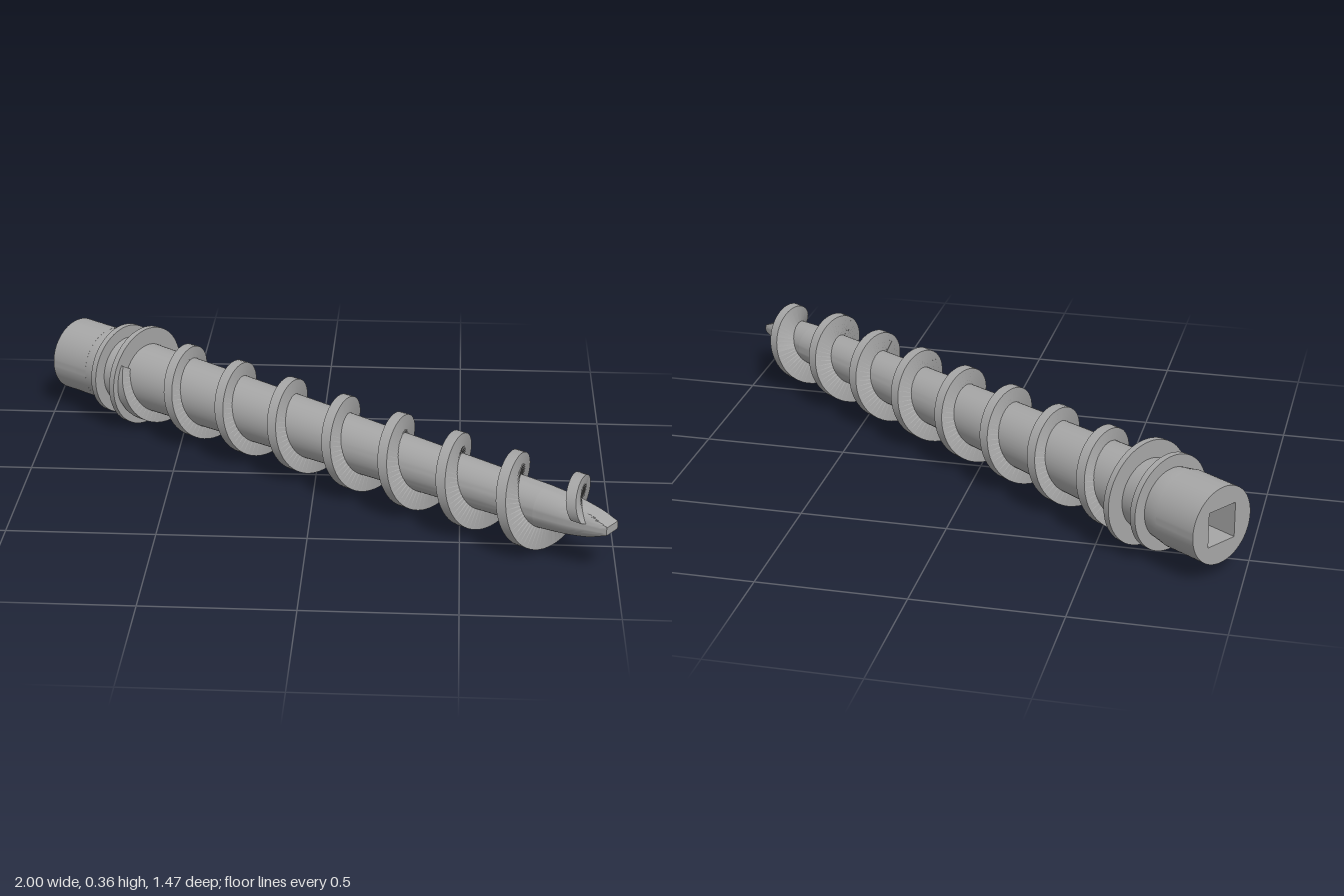
import * as THREE from 'three';
import { toCreasedNormals } from 'three/addons/utils/BufferGeometryUtils.js';

const steel = new THREE.MeshStandardMaterial({ color: 0xa6a6a6 });
steel.name = 'steelGrey';

const HEAD = -1.119, TIP = 1.204, PITCH = 0.2355;

// Everything is built along local x, head at -x and tip at +x.
function part(name, geometry, crease = 0.5) {
  const mesh = new THREE.Mesh(toCreasedNormals(geometry, crease), steel);
  mesh.name = name;
  return mesh;
}

function turned(profile) {
  const points = profile.map(([x, r]) => new THREE.Vector2(r, x));
  return new THREE.LatheGeometry(points, 48).rotateZ(-Math.PI / 2);
}

// Round drive head with a square socket
function headGeometry() {
  const shape = new THREE.Shape().absarc(0, 0, 0.132, 0, Math.PI * 2, false);
  const s = 0.06;
  shape.holes.push(new THREE.Path([[-s, -s], [-s, s], [s, s], [s, -s]].map(([x, y]) => new THREE.Vector2(x, y))));
  return new THREE.ExtrudeGeometry(shape, { depth: 0.16, bevelEnabled: false, curveSegments: 48 })
    .rotateY(Math.PI / 2).translate(HEAD, 0, 0);
}

// Tapered point with two flats that meet in a narrow chisel edge
function pointGeometry() {
  const curve = new THREE.SplineCurve([[0.95, 0.072], [1.05, 0.064], [1.13, 0.051], [TIP, 0.035]]
    .map(([x, r]) => new THREE.Vector2(x, r)));
  const profile = curve.getPoints(18).map((p) => [p.x, p.y]);
  const geometry = turned([...profile, [TIP, 0]]);
  const pos = geometry.attributes.position;
  for (let i = 0; i < pos.count; i++) {
    const h = 0.014 + 0.4 * (TIP - pos.getX(i));
    pos.setY(i, THREE.MathUtils.clamp(pos.getY(i), -h, h));
  }
  return geometry;
}

// Right-handed helical blade with a trapezoid section, fading out at the point
function threadGeometry() {
  const start = -0.785, end = 1.11, steps = 400;
  const positions = [], index = [];
  for (let i = 0; i <= steps; i++) {
    const x = start + (end - start) * i / steps;
    const angle = Math.PI - 2 * Math.PI * (x + 0.647) / PITCH;
    const fade = Math.max(0, (x - 0.98) / 0.13) ** 3;
    const outer = 0.153 - 0.006 * x - 0.08 * fade;
    const section = [[-0.03, 0.04], [-0.019, outer], [0.019, outer], [0.03, 0.04]];
    for (const [dx, r] of section) positions.push(x + dx, r * Math.sin(angle), r * Math.cos(angle));
    if (i === steps) continue;
    for (let j = 0; j < 3; j++) {
      const a = i * 4 + j, b = a + 1, c = a + 4, d = a + 5;
      index.push(a, c, b, b, c, d);
    }
  }
  const e = steps * 4;
  index.push(0, 1, 2, 0, 2, 3, e, e + 2, e + 1, e, e + 3, e + 2);
  const geometry = new THREE.BufferGeometry();
  geometry.setAttribute('position', new THREE.Float32BufferAttribute(positions, 3));
  geometry.setIndex(index);
  return geometry;
}

export function createModel() {
  const model = new THREE.Group();
  model.name = 'groundScrew';
  const screw = new THREE.Group();
  screw.name = 'screwBody';
  model.add(screw);

  screw.add(part('driveHead', headGeometry()));

  // Shaft; its closed near end is the floor of the socket
  screw.add(part('shaft', turned([[-0.99, 0], [-0.99, 0.125], [-0.96, 0.132], [-0.89, 0.12], [-0.75, 0.118],
    [0, 0.1], [0.75, 0.078], [0.95, 0.072]])));
  screw.add(part('point', pointGeometry()));

  // Two collars behind the thread
  for (const [name, x, r] of [['smallCollar', -0.888, 0.164], ['largeCollar', -0.785, 0.18]]) {
    const collar = part(name, new THREE.CylinderGeometry(r, r, 0.022, 64).rotateZ(Math.PI / 2));
    collar.position.x = x;
    screw.add(collar);
  }

  screw.add(part('thread', threadGeometry()));

  // Lay the screw diagonally with a slight dip towards the point
  screw.rotation.set(0, -0.612, -0.0078);
  screw.position.set(-0.007, 0.1755, 0.01);
  return model;
}
